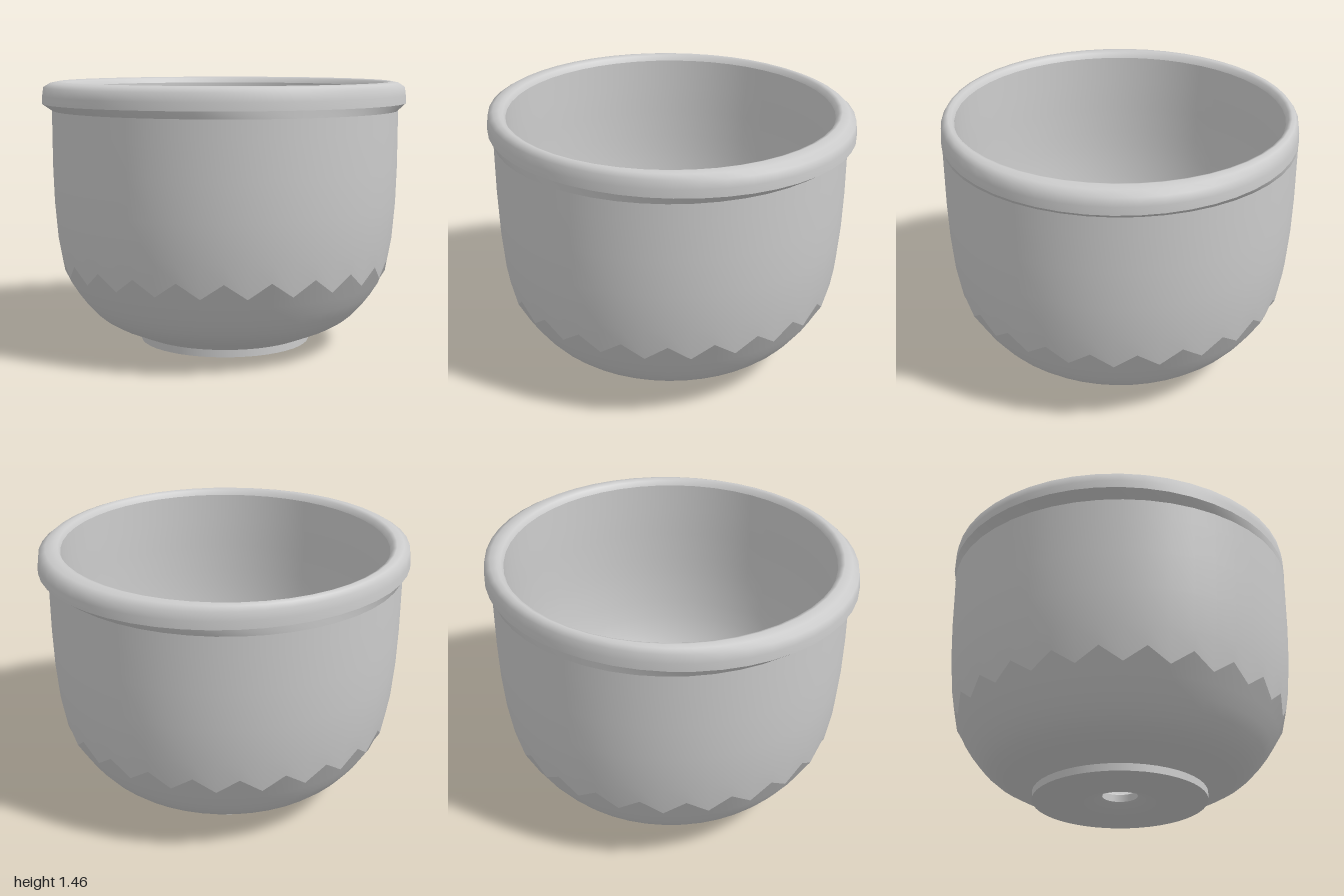
import * as THREE from 'three';

const SEGMENTS = 48;
const JOINT = { r: 0.89, y: 0.42 };

export function createModel() {
  const group = new THREE.Group();
  const material = new THREE.MeshStandardMaterial({ color: 0xcccccc });

  // Revolve one smooth stretch of the profile; separate stretches meet in a crease.
  const revolve = (name, points, smooth = 0) => {
    let profile = points.map(([r, y]) => new THREE.Vector2(r, y));
    if (smooth) profile = new THREE.SplineCurve(profile).getPoints(smooth);
    const geometry = new THREE.LatheGeometry(profile, SEGMENTS);
    const mesh = new THREE.Mesh(geometry, material);
    mesh.name = name;
    group.add(mesh);
    return geometry;
  };

  // Zigzag joint: every second vertex of the shared ring is raised.
  const zigzag = (geometry, row) => {
    const pos = geometry.attributes.position;
    const rows = pos.count / (SEGMENTS + 1);
    for (let i = 1; i <= SEGMENTS; i += 2) {
      const k = i * rows + (row < 0 ? rows - 1 : row);
      const s = 0.906 / JOINT.r;
      pos.setXYZ(k, pos.getX(k) * s, 0.5, pos.getZ(k) * s);
    }
  };

  // Foot with a rounded underside around the drain hole
  revolve('footUnderside', [[0.095, 0.05], [0.14, 0.025], [0.21, 0.006], [0.3, 0], [0.39, 0.008], [0.47, 0.02]]);
  revolve('footEdge', [[0.47, 0.02], [0.47, 0.06]]);

  // Rounded lower bowl and upright wall, meeting in the zigzag
  const bowl = revolve('lowerBowl', [[0.47, 0.06], [0.67, 0.15], [0.79, 0.265], [JOINT.r, JOINT.y]], 8);
  zigzag(bowl, -1);
  const wall = revolve('outerWall', [[JOINT.r, JOINT.y], [0.922, 0.6], [0.938, 0.8], [0.944, 1], [0.944, 1.2], [0.944, 1.3]]);
  zigzag(wall, 0);

  // Rim, its outer side stretched to both sides into overhanging lips
  const lip = revolve('rimUnderside', [[0.944, 1.3], [0.945, 1.338]]);
  const rim = revolve('rim', [[0.945, 1.338], [0.943, 1.38], [0.937, 1.425], [0.922, 1.447], [0.903, 1.455], [0.885, 1.447], [0.872, 1.42]]);
  for (const geometry of [lip, rim]) {
    const pos = geometry.attributes.position;
    for (let i = 0; i < pos.count; i++) {
      const r = Math.hypot(pos.getX(i), pos.getZ(i));
      if (pos.getY(i) < 1.31) continue;
      const w = THREE.MathUtils.clamp((r - 0.9) / 0.037, 0, 1);
      pos.setX(i, pos.getX(i) * (1 + 0.058 * w));
    }
    geometry.computeVertexNormals();
    // Match the normals across the seam
    const n = geometry.attributes.normal;
    const rows = n.count / (SEGMENTS + 1);
    for (let j = 0; j < rows; j++) {
      const k = SEGMENTS * rows + j;
      const v = new THREE.Vector3().fromBufferAttribute(n, j)
        .add(new THREE.Vector3().fromBufferAttribute(n, k)).normalize();
      n.setXYZ(j, v.x, v.y, v.z);
      n.setXYZ(k, v.x, v.y, v.z);
    }
  }

  // Hollow inside, sloping gently into the drain hole
  revolve('innerWall', [
    [0.872, 1.42], [0.868, 1.2], [0.866, 1], [0.855, 0.75], [0.81, 0.48], [0.7, 0.28],
    [0.52, 0.17], [0.3, 0.13], [0.16, 0.118], [0.095, 0.09],
  ], 24);
  revolve('drainHole', [[0.095, 0.09], [0.095, 0.05]]);

  return group;
}
